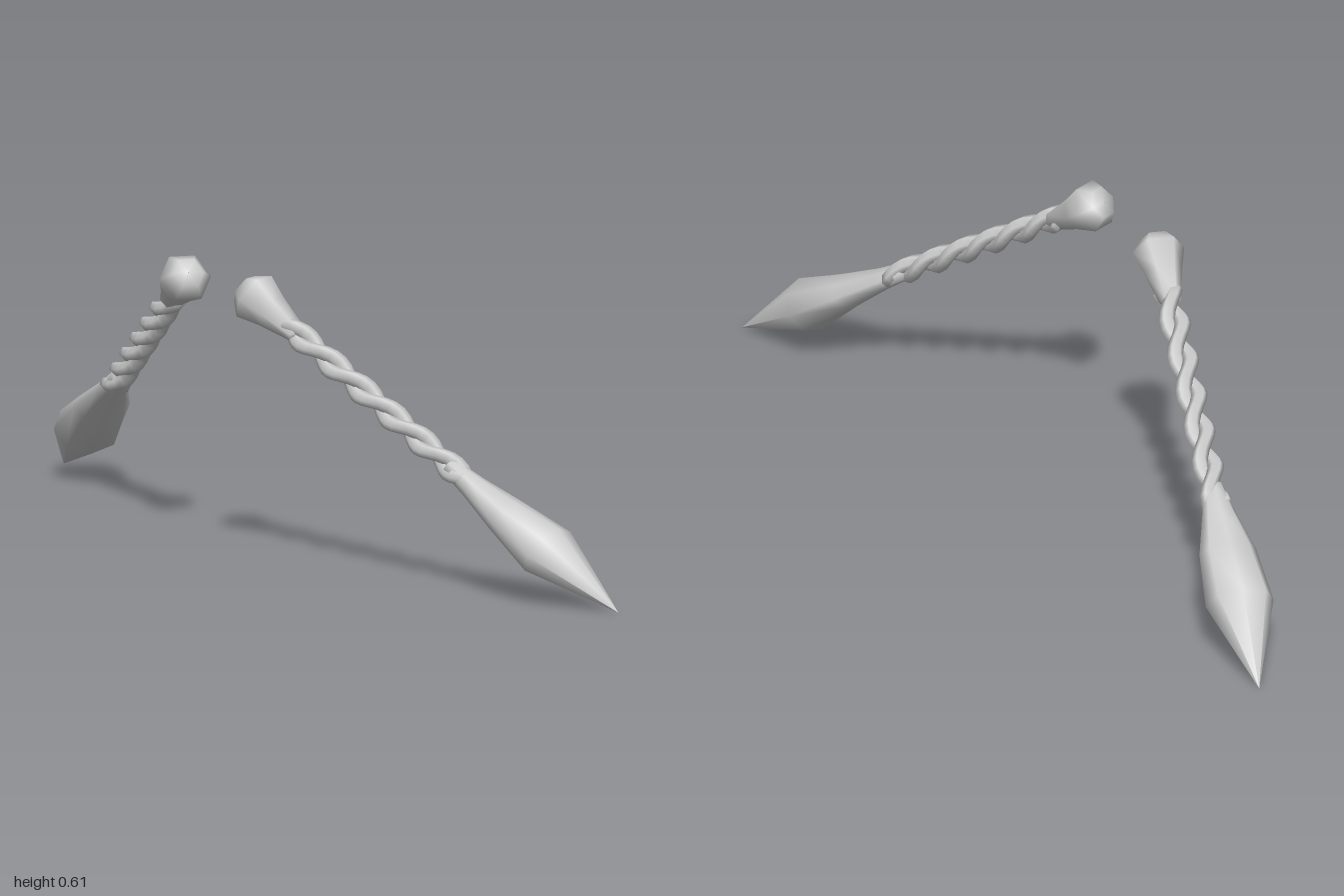
import * as THREE from 'three';

const material = new THREE.MeshStandardMaterial({ color: 0xcccccc });

// Closed skin over elliptical rings [height, radiusX, radiusZ, centreX, centreZ].
function loft(name, rings, sides) {
  const pos = [], index = [];
  rings.forEach(([y, a, b, cx = 0, cz = 0]) => {
    for (let j = 0; j < sides; j++) {
      const t = (j / sides) * Math.PI * 2;
      pos.push(cx + a * Math.cos(t), y, cz + b * Math.sin(t));
    }
  });
  for (let i = 0; i < rings.length - 1; i++) {
    for (let j = 0; j < sides; j++) {
      const k = (j + 1) % sides;
      const a = i * sides + j, c = i * sides + k;
      index.push(a, a + sides, c, a + sides, c + sides, c);
    }
  }
  const g = new THREE.BufferGeometry();
  g.setAttribute('position', new THREE.Float32BufferAttribute(pos, 3));
  g.setIndex(index);
  g.computeVertexNormals();
  const mesh = new THREE.Mesh(g, material);
  mesh.name = name;
  return mesh;
}

// One strand of the twisted grip, winding around the shaft axis.
function strand(phase) {
  const start = -0.53, end = 0.03, pitch = 0.178, steps = 32;
  const rings = [];
  for (let i = 0; i <= steps; i++) {
    const y = start + ((end - start) * i) / steps;
    const t = phase + ((y - start) / pitch) * Math.PI * 2;
    const r = i === 0 || i === steps ? 0.002 : 0.018;
    rings.push([y, r, r * 0.9, 0.016 * Math.cos(t), 0.013 * Math.sin(t)]);
  }
  return loft('gripStrand', rings, 6);
}

// A full piece, built along local +y from pommel to blade tip.
function createSide(name) {
  const side = new THREE.Group();
  side.name = name;

  side.add(loft('pommel', [
    [-0.648, 0.001, 0.001], [-0.645, 0.034, 0.034], [-0.617, 0.056, 0.056],
    [-0.565, 0.041, 0.038], [-0.49, 0.024, 0.02], [-0.48, 0.001, 0.001],
  ], 6));

  for (const phase of [0, Math.PI]) side.add(strand(phase));

  side.add(loft('blade', [
    [-0.04, 0.001, 0.001], [-0.03, 0.022, 0.019], [0.04, 0.036, 0.024],
    [0.135, 0.061, 0.036], [0.262, 0.073, 0.059], [0.4729, 0.0005, 0.0005],
  ], 8));

  // Lay the piece on its slanted axis, broad side horizontal.
  const origin = new THREE.Vector3(0.62, 0.247, -0.04);
  const y = new THREE.Vector3(1, 0, -0.175).sub(origin).normalize();
  const x = new THREE.Vector3(y.z, 0, -y.x).normalize();
  const z = new THREE.Vector3().crossVectors(x, y);
  const m = new THREE.Matrix4().makeBasis(x, y, z).setPosition(origin);
  side.applyMatrix4(m);
  return side;
}

export function createModel() {
  const model = new THREE.Group();
  model.name = 'twistedPair';
  model.add(createSide('leftPiece'));

  // Mirrored twin on the other side
  const mirror = new THREE.Group();
  mirror.name = 'rightPieceMirror';
  mirror.scale.x = -1;
  mirror.add(createSide('rightPiece'));
  model.add(mirror);
  return model;
}
